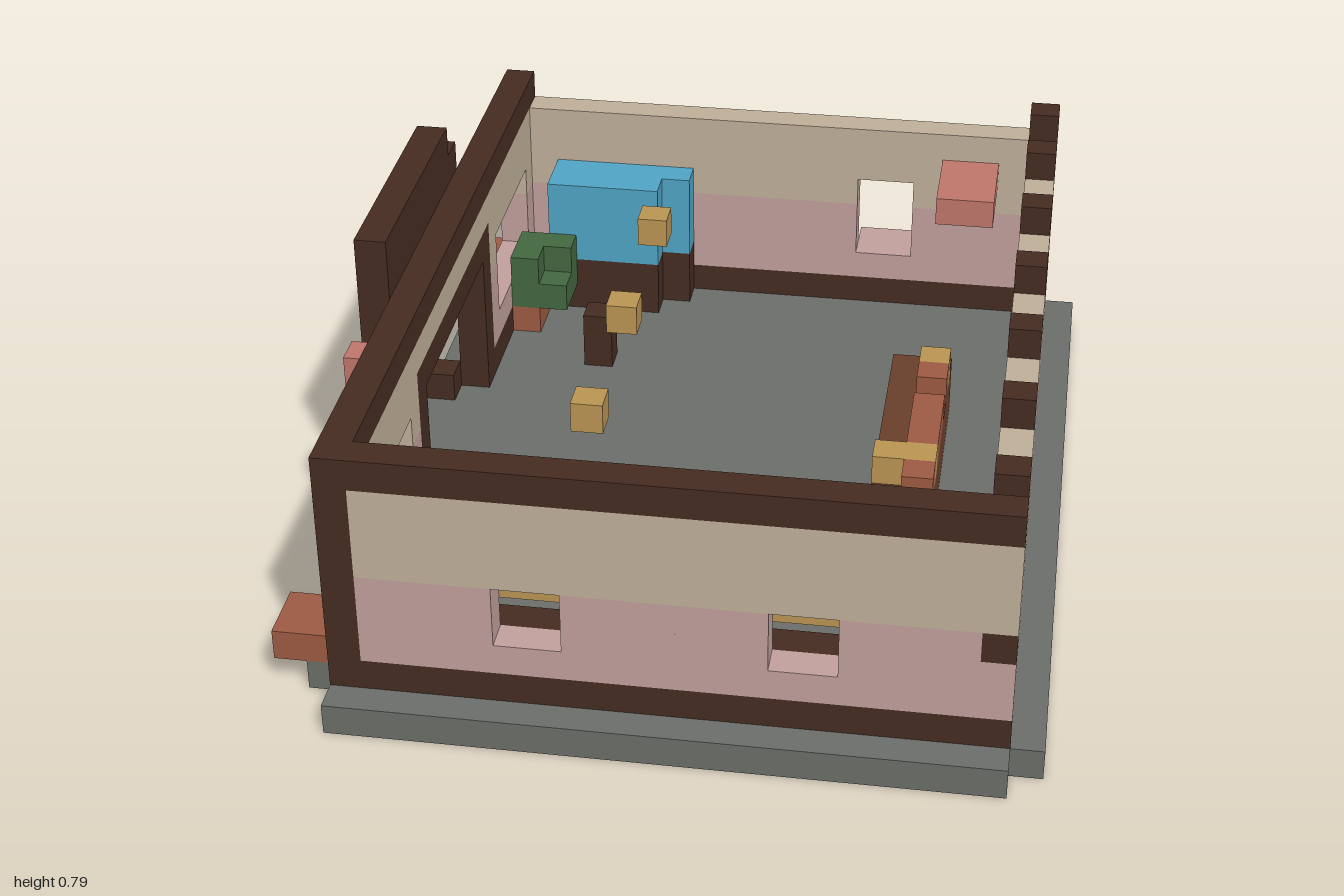
import * as THREE from 'three';

const U = 2 / 28; // edge of one block

export function createModel() {
  const root = new THREE.Group();
  root.name = 'tavern';
  const colours = {
    stone: 0x6b6e69, darkWood: 0x462c22, wood: 0x683f2b, terracotta: 0x9d5a43, salmon: 0xc0766a,
    cream: 0xbfaf99, pink: 0xc1a09d, gold: 0xba9553, blue: 0x50a4c5, green: 0x43673f,
  };
  const mats = {};
  for (const [name, color] of Object.entries(colours)) {
    mats[name] = new THREE.MeshStandardMaterial({ color });
    mats[name].name = name;
  }

  // Box on the block grid: x, y, z start and size in blocks
  function box(name, mat, x, y, z, w = 1, h = 1, d = 1, parent = root) {
    const m = new THREE.Mesh(new THREE.BoxGeometry(w * U, h * U, d * U), mats[mat]);
    m.position.set((x + w / 2 - 11.5) * U, (y + h / 2) * U, (z + d / 2 - 14) * U);
    m.name = name;
    parent.add(m);
    return m;
  }

  // Wall of courses, pink below and cream above, broken by openings [from, to, bottom, top]
  function wall(name, alongX, fixed, from, to, openings) {
    const g = new THREE.Group();
    g.name = name;
    root.add(g);
    for (let y = 2; y < 8; y++) {
      let start = from;
      for (let a = from; a <= to; a++) {
        const open = a === to || openings.some(([p, q, b, t]) => a >= p && a < q && y >= b && y < t);
        if (!open) continue;
        if (a > start) {
          const mat = y < 5 ? 'pink' : 'cream';
          if (alongX) box('wallCourse', mat, start, y, fixed, a - start, 1, 1, g);
          else box('wallCourse', mat, fixed, y, start, 1, 1, a - start, g);
        }
        start = a + 1;
      }
    }
  }

  // Stone base with stepped edges
  box('base', 'stone', 2, 0, 0, 20, 1, 28);
  box('baseRight', 'stone', 22, 0, 1, 1, 1, 26);
  box('baseLeft', 'stone', 1, 0, 1, 1, 1, 25);

  // Walls
  wall('frontWall', true, 26, 3, 22, [[7, 9, 3, 5], [15, 17, 3, 5], [21, 22, 4, 5]]);
  wall('backWall', true, 1, 2, 22, [[7, 9, 3, 6], [15, 17, 3, 6], [4, 7, 4, 5], [2, 3, 4, 5]]);
  wall('rightWall', false, 21, 2, 26, [[19, 22, 3, 5], [6, 8, 3, 5], [6, 7, 5, 6]]);
  wall('leftWall', false, 2, 2, 26, [[3, 8, 3, 6], [20, 25, 3, 6], [9, 19, 2, 7]]);

  // Dark timber: sills, top beams, corner post and corner blocks
  box('frontSill', 'darkWood', 2, 1, 26, 20);
  box('backSill', 'darkWood', 2, 1, 1, 20);
  box('rightSill', 'darkWood', 21, 1, 2, 1, 1, 24);
  box('leftSillBack', 'darkWood', 2, 1, 2, 1, 1, 7);
  box('leftSillFront', 'darkWood', 2, 1, 19, 1, 1, 7);
  box('frontBeam', 'darkWood', 3, 8, 26, 19);
  box('leftBeam', 'darkWood', 2, 8, 1, 1, 1, 26);
  box('cornerPost', 'darkWood', 2, 2, 26, 1, 6);
  box('cornerBlockFront', 'darkWood', 21, 4, 26);
  box('cornerBlockBack', 'darkWood', 2, 4, 1);
  for (const z of [1, 4, 8, 12, 16, 20, 24]) box('rafterEnd', 'darkWood', 21, 8, z);

  // Doorway, its side posts and the board above
  for (const z of [9, 18]) box('doorPost', 'darkWood', 2, 1, z, 1, 5);
  box('doorLintel', 'darkWood', 2, 6, 9, 1, 1, 10);
  box('doorSidePost', 'darkWood', 1, 1, 18, 1, 3);
  box('doorBracket', 'wood', 1, 4, 9, 1, 2);
  box('doorStep', 'darkWood', 1, 1, 10);
  box('signBoard', 'darkWood', 1, 7, 10, 1, 4, 8);
  box('signBoardEnd', 'darkWood', 1, 7, 9, 1, 3);
  box('signHook', 'salmon', 1, 7, 19);
  box('hangingRed', 'terracotta', 0, 6, 8);
  box('hangingCream', 'cream', 0, 6, 9);

  // Planters outside the left wall
  for (const z of [1, 24]) box('planter', 'terracotta', 0, 1, z, 2, 1, 2);

  // Back window ledges and blue panel in the wall
  box('backLedgeDark', 'darkWood', 7, 2, 0);
  box('backLedge', 'pink', 8, 2, 0);
  box('backLedgeWide', 'pink', 15, 2, 0, 2);
  box('bluePanel', 'blue', 4, 4, 1, 3);
  box('windowBlock', 'stone', 8, 5, 1);

  // Lamps in the right windows
  for (const z of [7, 19]) box('windowLamp', 'gold', 21, 3, z);

  // Blue cabinet on a dark base
  for (const [mat, y, h] of [['darkWood', 1, 2], ['blue', 3, 3]]) {
    box('cabinet', mat, 4, y, 2, 4, h, 2);
    box('cabinetSide', mat, 8, y, 2, 1, h, 1);
  }

  // Front bench with shelf above
  box('bench', 'darkWood', 4, 1, 25, 16, 2, 1);
  box('shelfGoods', 'gold', 4, 4, 25, 16);
  box('shelfTop', 'darkWood', 4, 5, 25, 16);

  // Counter and things on it
  box('counter', 'wood', 17, 1, 9, 2, 2, 10);
  box('counterLamp', 'gold', 18, 3, 10);
  box('counterTray', 'gold', 17, 3, 16, 2);
  box('counterGoods', 'terracotta', 18, 3, 13, 1, 1, 3);
  for (const z of [11, 17]) box('counterCup', 'terracotta', 18, 3, z);

  // Corner shelf
  box('cornerShelf', 'salmon', 18, 6, 2, 2, 1, 3);

  // Stools and hanging lamps
  for (const z of [7, 20]) box('stool', 'darkWood', 6, 1, z, 1, 2);
  box('floorLamp', 'gold', 6, 1, 21);
  for (const z of [7, 13, 19]) box('hangingLamp', 'gold', 8, 6, z);

  // Potted plants
  for (const z of [4, 22]) {
    box('pot', 'terracotta', 3, 1, z, 1, 1, 2);
    box('plantLower', 'green', 3, 2, z, 2, 1, 2);
    box('plantUpper', 'green', 3, 3, z, 1, 1, 2);
    box('plantTip', 'green', 4, 3, z);
  }
  return root;
}
